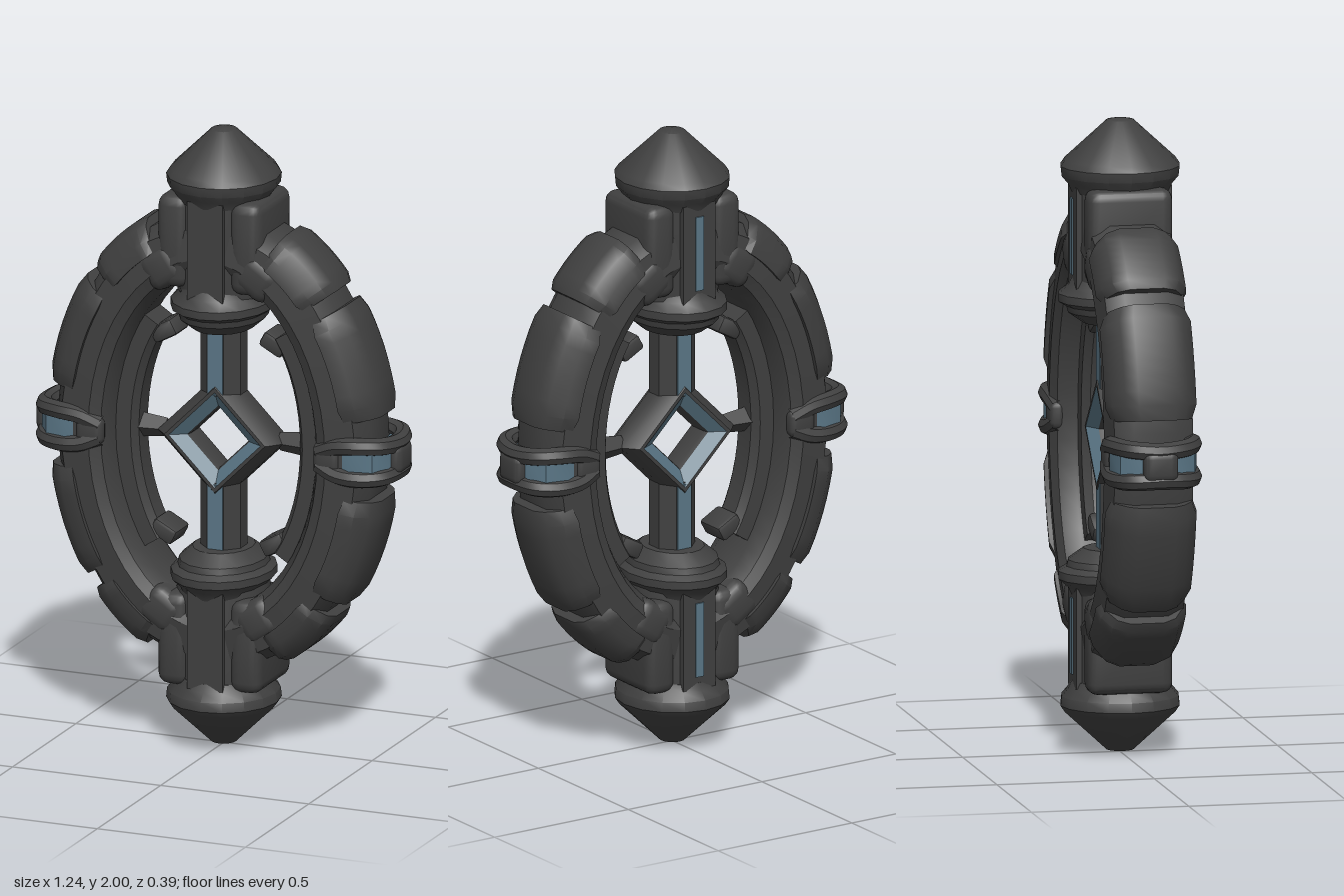
import * as THREE from 'three';
import { toCreasedNormals } from 'three/addons/utils/BufferGeometryUtils.js';
import { RoundedBoxGeometry } from 'three/addons/geometries/RoundedBoxGeometry.js';

const dark = new THREE.MeshStandardMaterial({ color: 0x404040 });
dark.name = 'charcoal metal';
const blue = new THREE.MeshStandardMaterial({ color: 0x5a7686 });
blue.name = 'steel blue inlay';

function add(parent, name, geometry, material, x = 0, y = 0, z = 0) {
  const mesh = new THREE.Mesh(toCreasedNormals(geometry, 0.6), material);
  mesh.name = name;
  mesh.position.set(x, y, z);
  parent.add(mesh);
  return mesh;
}

// Sweeps a section (outward offset, depth; mirrored in depth) along an ellipse, with tapered capped ends
function sweep(a, b, t0, t1, half, steps, taper = 1) {
  const section = [...half, ...half.slice().reverse().map(([n, z]) => [n, -z])];
  const m = section.length, mid = (half[0][0] + half[half.length - 1][0]) / 2;
  const pos = [], idx = [];
  for (let i = 0; i <= steps; i++) {
    const t = t0 + (t1 - t0) * i / steps;
    const s = i === 0 || i === steps ? taper : 1;
    const c = Math.cos(t), d = Math.sin(t), len = Math.hypot(b * c, a * d);
    for (const [n, z] of section) {
      const off = mid + (n - mid) * s;
      pos.push(a * c + off * b * c / len, b * d + off * a * d / len, z * s);
    }
  }
  for (let i = 0; i < steps; i++) for (let j = 0; j < m; j++) {
    const p = i * m + j, q = i * m + (j + 1) % m;
    idx.push(p, p + m, q + m, p, q + m, q);
  }
  if (t1 - t0 < 6) for (let k = 1; k < m - 1; k++) {
    const e = steps * m;
    idx.push(0, k, k + 1, e, e + k + 1, e + k);
  }
  const g = new THREE.BufferGeometry();
  g.setAttribute('position', new THREE.Float32BufferAttribute(pos, 3));
  g.setIndex(idx);
  return g;
}

function lathe(points, sides) {
  return new THREE.LatheGeometry(points.map(p => new THREE.Vector2(...p)), sides);
}

// Column end, collar and post; heights are relative to the centre of the model
function makeColumn(name) {
  const g = new THREE.Group();
  g.name = name;
  add(g, 'pointedCap', lathe([[0, 0.77], [0.145, 0.77], [0.155, 0.795], [0.175, 0.82],
    [0.178, 0.85], [0.165, 0.87], [0.04, 0.992], [0, 1]], 16), dark).scale.z = 1.06;
  add(g, 'shaft', lathe([[0.14, 0.44], [0.148, 0.5], [0.148, 0.78]], 16), dark);
  add(g, 'shaftPanel', new THREE.BoxGeometry(0.12, 0.32, 0.304), dark, 0, 0.63);
  add(g, 'backInlay', new THREE.BoxGeometry(0.03, 0.24, 0.006), blue, 0, 0.63, -0.154);
  for (const s of [-1, 1]) {
    add(g, 'shoulder', new RoundedBoxGeometry(0.105, 0.3, 0.27, 2, 0.035), dark, s * 0.122, 0.645);
    add(g, 'shoulderFoot', new RoundedBoxGeometry(0.14, 0.13, 0.28, 2, 0.04), dark, s * 0.16, 0.555)
      .rotation.z = -s * 0.6;
  }
  add(g, 'collar', lathe([[0, 0.355], [0.105, 0.355], [0.15, 0.39], [0.155, 0.41], [0.178, 0.425],
    [0.178, 0.45], [0.15, 0.475], [0.14, 0.5]], 16), dark).scale.set(0.9, 1, 1.1);
  const post = new THREE.CylinderGeometry(0.073, 0.073, 0.24, 8);
  post.rotateY(Math.PI / 8);
  add(g, 'post', post, dark, 0, 0.26);
  for (const s of [-1, 1])
    add(g, 'postInlay', new THREE.BoxGeometry(0.052, 0.22, 0.006), blue, 0, 0.255, s * 0.068);
  return g;
}

// Side clamp on +x: two wrapped bars around an inlaid band
function makeClamp(name) {
  const g = new THREE.Group();
  g.name = name;
  const outline = [[0.4, 0.115], [0.48, 0.138], [0.55, 0.118], [0.585, 0.07], [0.595, 0]];
  const full = [...outline, ...outline.slice(0, -1).reverse().map(([x, z]) => [x, -z])];
  const band = new THREE.ExtrudeGeometry(new THREE.Shape(full.map(p => new THREE.Vector2(...p))),
    { depth: 0.08, bevelEnabled: false });
  band.rotateX(Math.PI / 2);
  add(g, 'clampInlay', band, blue, 0, 0.04);
  for (const s of [-1, 1]) {
    const path = [[0.37, 0.02, 0.115], [0.43, 0.045, 0.125], [0.5, 0.052, 0.122],
      [0.565, 0.05, 0.085], [0.588, 0.045, 0]];
    const pts = [...path, ...path.slice(0, -1).reverse().map(([x, y, z]) => [x, y, -z])]
      .map(([x, y, z]) => new THREE.Vector3(x, s * y, z));
    add(g, 'clampBar', new THREE.TubeGeometry(new THREE.CatmullRomCurve3(pts), 32, 0.029, 8), dark);
    add(g, 'clampTip', new RoundedBoxGeometry(0.09, 0.09, 0.05, 2, 0.022), dark, 0.4, 0, s * 0.118);
  }
  add(g, 'clampBoss', new RoundedBoxGeometry(0.06, 0.1, 0.11, 2, 0.025), dark, 0.588, 0);
  return g;
}

export function createModel() {
  const model = new THREE.Group();
  model.name = 'ornamentalRing';
  const body = new THREE.Group();
  body.name = 'body';
  body.position.y = 1;
  model.add(body);

  // Oval ring
  add(body, 'ovalRing', sweep(0.44, 0.64, 0, Math.PI * 2,
    [[0.09, 0.07], [0.055, 0.125], [-0.04, 0.138], [-0.075, 0.12], [-0.1, 0.07]], 48), dark);

  // Armour plates and inner lips, in matching pairs
  const longPlate = [[0.13, 0.06], [0.11, 0.1], [0.07, 0.135], [0.02, 0.145]];
  const shortPlate = [[0.125, 0.06], [0.105, 0.105], [0.06, 0.135], [0.015, 0.143]];
  for (const mid of [0, Math.PI]) for (const s of [-1, 1]) {
    const plate = (name, from, to, section) => {
      const ends = [mid + s * from, mid + s * to].sort((p, q) => p - q);
      add(body, name, sweep(0.44, 0.64, ...ends, section, 8, 0.88), dark);
    };
    plate('longArmourPlate', 0.19, 0.72, longPlate);
    plate('shortArmourPlate', 0.8, 1.17, shortPlate);
  }
  for (const s of [-1, 1]) {
    const mid = s > 0 ? 0 : Math.PI;
    add(body, 'innerLip', sweep(0.31, 0.5, mid - 0.8, mid + 0.8,
      [[0.035, 0.06], [-0.02, 0.06], [-0.038, 0.035]], 16), dark);
    for (const v of [-1, 1])
      add(body, 'lipHook', new RoundedBoxGeometry(0.085, 0.055, 0.11, 1, 0.012), dark,
        s * 0.185, v * 0.325).rotation.z = -s * v * 0.5;

    // Arm joining the centre frame to the ring
    const arm = new THREE.CylinderGeometry(0.05, 0.03, 0.17, 4);
    arm.rotateZ(-s * Math.PI / 2);
    add(body, s > 0 ? 'leftArm' : 'rightArm', arm, dark, s * 0.275, 0);
  }

  // Diamond frame: dark rim and hole lining, blue inner slopes
  const frame = (name, points, material) => {
    const g = lathe(points, 4);
    g.rotateX(Math.PI / 2);
    add(body, name, g, material);
  };
  frame('diamondRim', [[0.155, -0.075], [0.17, -0.075], [0.21, -0.03], [0.21, 0.03],
    [0.17, 0.075], [0.155, 0.075]], dark);
  frame('diamondFrontInlay', [[0.158, 0.075], [0.105, 0.045]], blue);
  frame('diamondBackInlay', [[0.105, -0.045], [0.158, -0.075]], blue);
  frame('diamondLining', [[0.105, 0.045], [0.098, 0.03], [0.098, -0.03], [0.105, -0.045]], dark);

  // Columns and clamps, the second of each turned half a turn
  const bottom = makeColumn('bottomColumn'), right = makeClamp('rightClamp');
  bottom.rotation.z = right.rotation.z = Math.PI;
  body.add(makeColumn('topColumn'), bottom, makeClamp('leftClamp'), right);
  return model;
}
